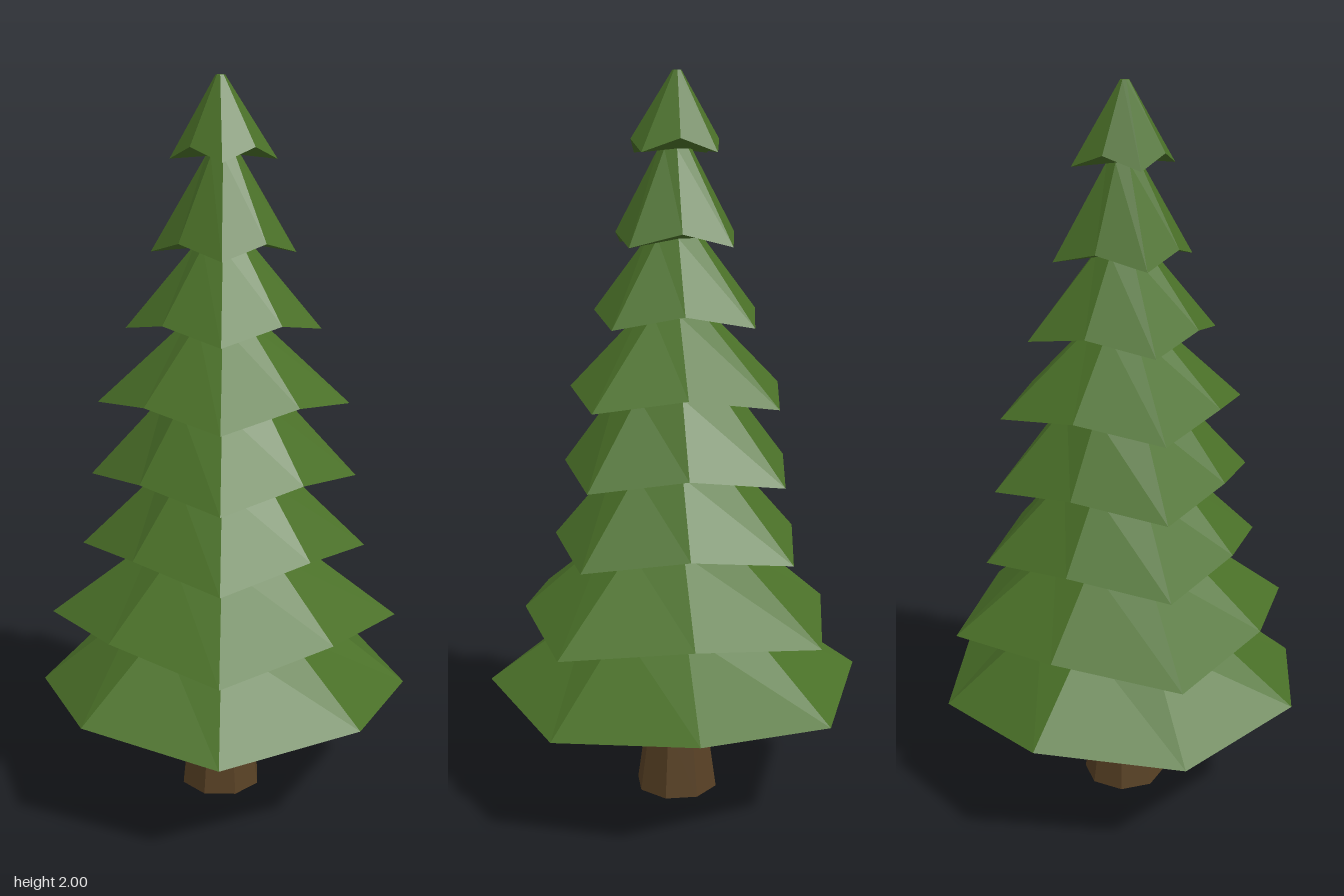
import * as THREE from 'three';

const SIDES = 8;

// Tiers from bottom to top: rim radius, rim height, neck radius, neck height,
// and how far the in-between corners are pulled in
const TIERS = [
  [0.52, 0.31, 0.24, 0.54, 1.0],
  [0.488, 0.52, 0.195, 0.745, 0.86],
  [0.395, 0.73, 0.17, 0.95, 0.84],
  [0.365, 0.935, 0.16, 1.16, 0.83],
  [0.343, 1.14, 0.095, 1.37, 0.83],
  [0.263, 1.345, 0.075, 1.57, 0.83],
  [0.192, 1.55, 0.045, 1.8, 0.83],
  [0.14, 1.79, 0.012, 2.0, 0.84],
];
const CORNER_LIFT = 0.035;

function flatMaterial(color) {
  return new THREE.MeshStandardMaterial({ color, flatShading: true });
}

// One faceted profile; every second corner of each rim is raised and pulled in
function buildFoliage() {
  const profile = [new THREE.Vector2(0, 0.31)];
  for (const [rimR, rimY, neckR, neckY] of TIERS) {
    profile.push(new THREE.Vector2(rimR, rimY), new THREE.Vector2(neckR, neckY));
  }
  profile.push(new THREE.Vector2(0, 2));

  const geometry = new THREE.LatheGeometry(profile, SIDES);
  const pos = geometry.attributes.position;
  const count = profile.length;
  for (let side = 1; side < SIDES; side += 2) {
    TIERS.forEach((tier, t) => {
      const rim = side * count + 1 + 2 * t;
      const pull = tier[4];
      pos.setXYZ(rim, pos.getX(rim) * pull, pos.getY(rim) + CORNER_LIFT, pos.getZ(rim) * pull);
    });
  }
  // Tip leans very slightly to one side
  for (let i = 0; i < pos.count; i++) {
    if (pos.getY(i) > 1.99) pos.setX(i, pos.getX(i) - 0.008);
  }
  geometry.computeVertexNormals();

  const foliage = new THREE.Mesh(geometry, flatMaterial(0x4a7028));
  foliage.name = 'foliage';
  return foliage;
}

// Waisted trunk with a flat side facing the front
function buildTrunk() {
  const profile = [[0, 0], [0.117, 0], [0.088, 0.2], [0.107, 0.32], [0, 0.32]]
    .map(([r, y]) => new THREE.Vector2(r, y));
  const geometry = new THREE.LatheGeometry(profile, SIDES, Math.PI / SIDES);
  const trunk = new THREE.Mesh(geometry, flatMaterial(0x574024));
  trunk.name = 'trunk';
  trunk.position.x = -0.008;
  return trunk;
}

export function createModel() {
  const tree = new THREE.Group();
  tree.name = 'pineTree';
  tree.add(buildTrunk(), buildFoliage());
  return tree;
}
